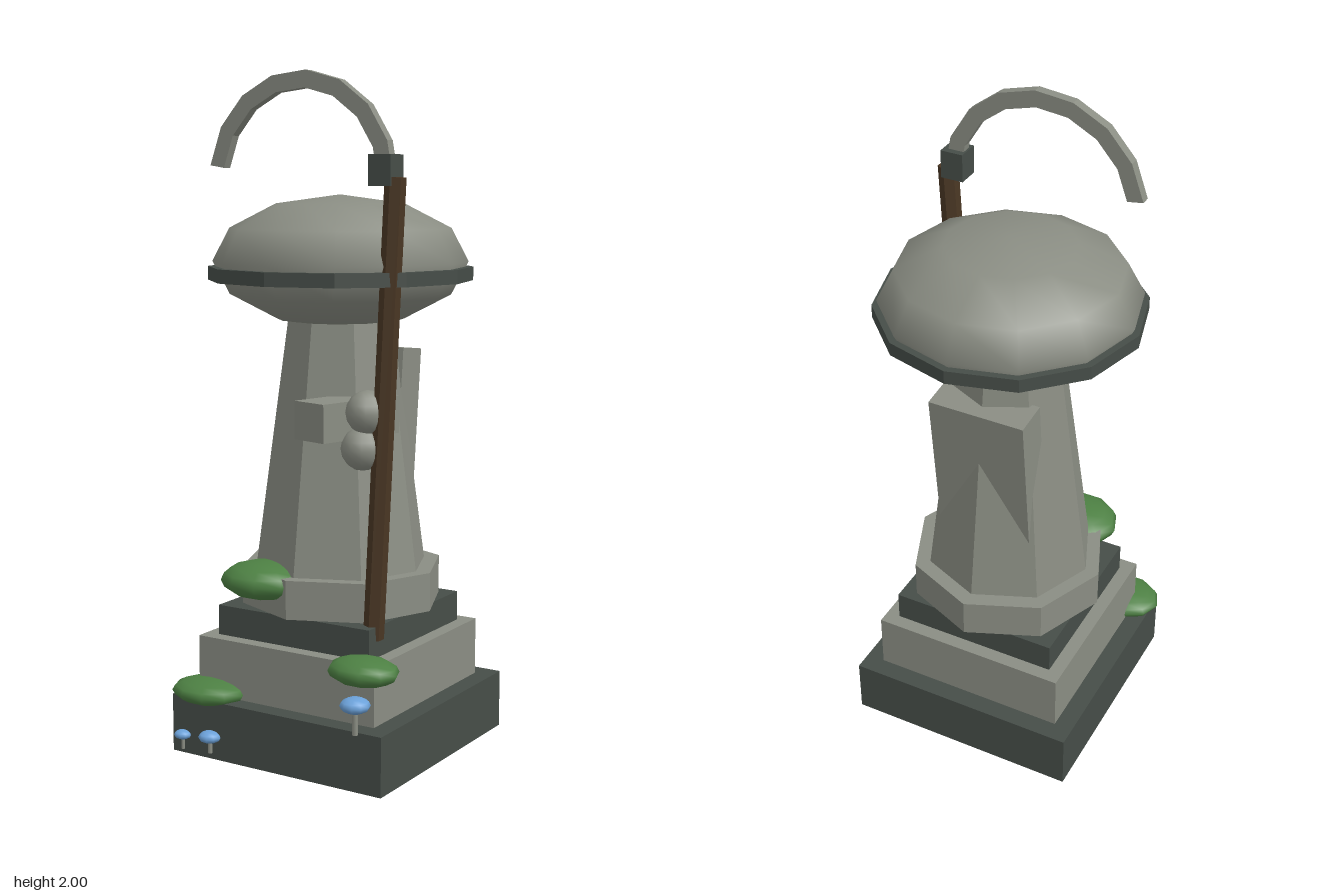
import * as THREE from 'three';

const material = (name, color, flatShading = false) => {
  const m = new THREE.MeshStandardMaterial({ color, flatShading });
  m.name = name;
  return m;
};

export function createModel() {
  const stone = material('weathered stone', 0x8a8d83);
  const dark = material('dark slate', 0x464d48);
  const wood = material('brown wood', 0x4a3724);
  const leaf = material('moss green', 0x4d8043);
  const blue = material('mushroom blue', 0x6ca2da);

  const group = new THREE.Group();
  group.name = 'stoneLantern';
  const Z = -0.018; // axis of the stone stack

  const add = (name, geometry, mat, x, y, z) => {
    const mesh = new THREE.Mesh(geometry, mat);
    mesh.name = name;
    mesh.position.set(x, y, z);
    group.add(mesh);
    return mesh;
  };
  const box = (name, mat, w, h, d, x, y, z) =>
    add(name, new THREE.BoxGeometry(w, h, d), mat, x, y, z);
  // faceted prism with hard edges
  const prism = (name, mat, rTop, rBottom, y0, y1, sides, x = 0, z = Z) => {
    const g = new THREE.CylinderGeometry(rTop, rBottom, y1 - y0, sides).toNonIndexed();
    g.computeVertexNormals();
    return add(name, g, mat, x, (y0 + y1) / 2, z);
  };
  const blob = (name, mat, rx, ry, rz, x, y, z, ws = 10, hs = 8) => {
    const g = new THREE.SphereGeometry(1, ws, hs).scale(rx, ry, rz);
    return add(name, g, mat, x, y, z);
  };

  // stepped base
  box('basePlinth', dark, 0.725, 0.175, 0.725, 0, 0.0875, Z);
  box('middleStep', stone, 0.61, 0.175, 0.61, 0, 0.2625, Z);
  box('upperStep', dark, 0.525, 0.09, 0.525, 0, 0.395, Z);

  // octagonal tower
  prism('towerFoot', stone, 0.305, 0.305, 0.44, 0.555, 8, 0, -0.03);
  prism('towerShaft', stone, 0.158, 0.26, 0.555, 1.31, 8, 0, -0.025);

  // domed cap and its rim
  blob('domeCap', stone, 0.378, 0.195, 0.378, 0, 1.46, Z, 12, 6);
  prism('capRim', dark, 0.392, 0.392, 1.405, 1.445, 12);

  // leaning slab on the back
  box('backSlab', stone, 0.3, 0.5, 0.108, 0, 0.947, -0.163).rotation.x = -0.1;

  // bracket block on the front
  box('bracketBlock', stone, 0.12, 0.11, 0.3, 0.125, 1.025, 0.14).rotation.y = -0.25;

  // knotted binding beside the pole
  blob('upperKnot', stone, 0.06, 0.063, 0.068, 0.222, 1.052, 0.19, 12, 8);
  blob('lowerKnot', stone, 0.062, 0.063, 0.068, 0.208, 0.948, 0.19, 12, 8);

  // leaning pole and collar
  prism('pole', wood, 0.03, 0.03, 0.4, 1.705, 6, 0.276, 0.188).rotation.z = -0.05;
  box('poleCollar', dark, 0.07, 0.085, 0.07, 0.277, 1.723, 0.187);

  // curved hook
  const arc = [];
  const steps = 8, end = THREE.MathUtils.degToRad(171);
  const at = (r, i) => {
    const a = (end * i) / steps;
    return new THREE.Vector2(r * Math.cos(a), r * Math.sin(a));
  };
  for (let i = 0; i <= steps; i++) arc.push(at(0.311, i));
  for (let i = steps; i >= 0; i--) arc.push(at(0.262, i));
  const hook = new THREE.ExtrudeGeometry(new THREE.Shape(arc), { depth: 0.03, bevelEnabled: false });
  add('hook', hook, stone, 0, 1.69, 0.172);

  // moss clumps
  blob('towerMoss', leaf, 0.133, 0.056, 0.12, -0.12, 0.53, 0.21);
  blob('stepMoss', leaf, 0.108, 0.041, 0.085, 0.278, 0.34, 0.3);
  blob('baseMoss', leaf, 0.12, 0.038, 0.096, -0.263, 0.19, 0.294);

  // mushrooms: x, cap height, z, cap radius, stem length
  [
    [0.29, 0.26, 0.363, 0.044, 0.085],
    [-0.22, 0.07, 0.352, 0.035, 0.05],
    [-0.322, 0.058, 0.35, 0.027, 0.045],
  ].forEach(([x, y, z, r, len]) => {
    blob('mushroomCap', blue, r, r * 0.52, r, x, y, z, 10, 6);
    add('mushroomStem', new THREE.CylinderGeometry(r * 0.16, r * 0.2, len, 6), stone, x, y - len / 2, z);
  });

  return group;
}
